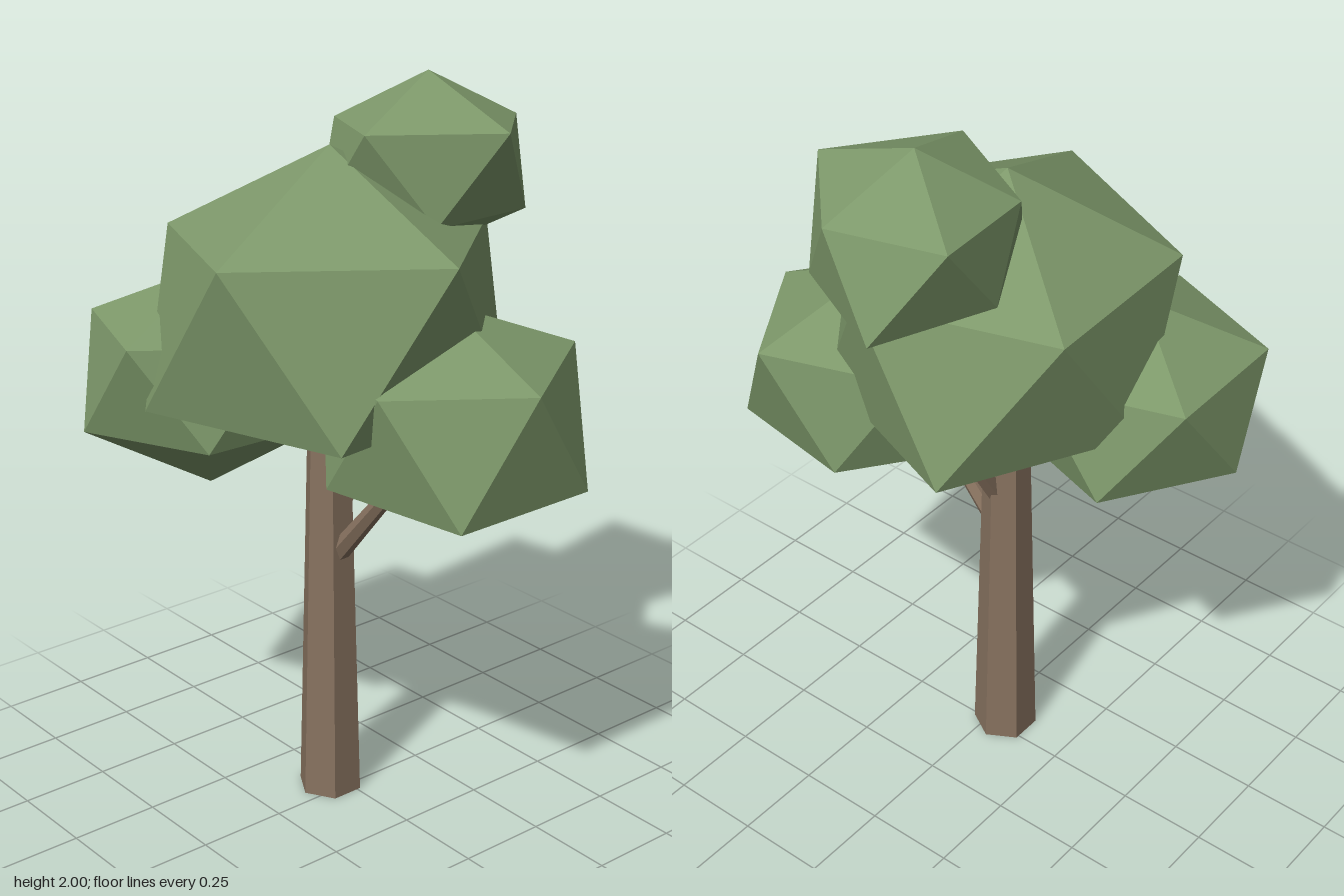
import * as THREE from 'three';

const leafGreen = new THREE.MeshStandardMaterial({ color: 0x7d986a });
leafGreen.name = 'leafGreen';
const barkBrown = new THREE.MeshStandardMaterial({ color: 0x87725f });
barkBrown.name = 'barkBrown';

// Upright 20-sided clump; each corner is pulled in or out from the centre.
// s: top pole, upper ring of 5, lower ring of 5, bottom pole
function clumpGeometry(ringRadius, ringHeight, s) {
  const poleHeight = ringHeight * Math.sqrt(5);
  const points = [0, poleHeight * s[0], 0];
  for (let k = 0; k < 10; k++) {
    const lower = k >= 5;
    const a = ((k % 5) * 72 + (lower ? 36 : 0)) * Math.PI / 180;
    const f = s[k + 1];
    points.push(Math.cos(a) * ringRadius * f, (lower ? -ringHeight : ringHeight) * f, Math.sin(a) * ringRadius * f);
  }
  points.push(0, -poleHeight * s[11], 0);

  const index = [];
  for (let i = 0; i < 5; i++) {
    const j = (i + 1) % 5;
    const u0 = 1 + i, u1 = 1 + j, l0 = 6 + i, l1 = 6 + j;
    index.push(0, u1, u0, u0, u1, l0, l0, u1, l1, 11, l0, l1);
  }
  const geometry = new THREE.BufferGeometry();
  geometry.setAttribute('position', new THREE.Float32BufferAttribute(points, 3));
  geometry.setIndex(index);
  return faceted(geometry);
}

// Separate the faces so every one is shaded flat
function faceted(geometry) {
  const flat = geometry.index ? geometry.toNonIndexed() : geometry;
  flat.computeVertexNormals();
  return flat;
}

// Tapered six-sided limb between two points
function limb(name, from, to, r0, r1) {
  const a = new THREE.Vector3(...from), b = new THREE.Vector3(...to);
  const dir = b.clone().sub(a);
  const mesh = new THREE.Mesh(faceted(new THREE.CylinderGeometry(r1, r0, dir.length(), 6)), barkBrown);
  mesh.position.copy(a).add(b).multiplyScalar(0.5);
  mesh.quaternion.setFromUnitVectors(new THREE.Vector3(0, 1, 0), dir.normalize());
  mesh.name = name;
  return mesh;
}

export function createModel() {
  const tree = new THREE.Group();
  tree.name = 'tree';

  // Trunk and branches
  tree.add(
    limb('trunk', [-0.04, 0, 0.035], [-0.04, 1.2, 0.035], 0.09, 0.058),
    limb('leftBranch', [-0.02, 0.71, 0.033], [0.25, 1.02, 0.033], 0.03, 0.02),
    limb('backBranch', [-0.035, 0.81, 0.03], [-0.01, 1.15, -0.17], 0.03, 0.02),
  );

  // Foliage
  const clumps = [
    ['mainFoliage', [-0.04, 1.415, 0.03], 0.49, 0.215,
      [0.885, 1, 1.01, 0.89, 1, 0.9, 1.03, 1.03, 0.87, 1, 0.95, 0.86]],
    ['topFoliage', [0.01, 1.763, -0.255], 0.307, 0.127,
      [0.834, 1, 1, 0.81, 1, 0.82, 0.86, 1, 0.8, 1, 0.85, 0.85]],
    ['leftFoliage', [0.3, 1.18, -0.075], 0.335, 0.15,
      [0.9, 1, 1, 0.97, 1, 1.07, 1.1, 0.98, 0.95, 0.95, 1.1, 0.89]],
    ['rightFoliage', [-0.33, 1.215, 0.215], 0.33, 0.135,
      [0.9, 0.95, 1.04, 0.98, 1.03, 1, 0.97, 1.05, 0.94, 1, 1, 1.11]],
  ];
  for (const [name, position, radius, height, scales] of clumps) {
    const mesh = new THREE.Mesh(clumpGeometry(radius, height, scales), leafGreen);
    mesh.position.set(...position);
    mesh.name = name;
    tree.add(mesh);
  }
  return tree;
}
